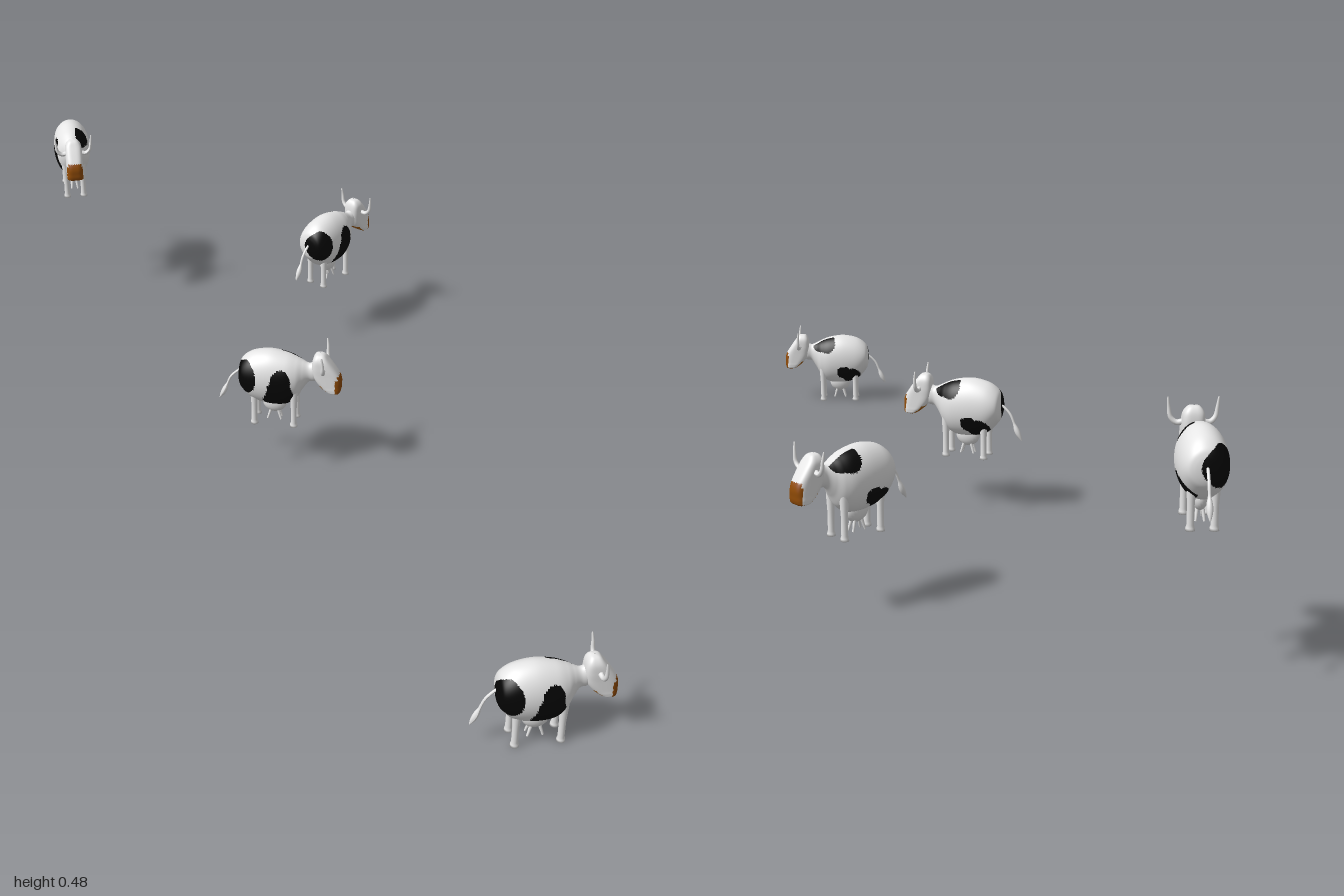
import * as THREE from 'three';

const mat = (name, color) => {
  const m = new THREE.MeshStandardMaterial({ color });
  m.name = name;
  return m;
};

// Smooth interpolation through rows of numbers, u in 0..1
function sample(rows, u) {
  const f = u * (rows.length - 1), i = Math.min(Math.floor(f), rows.length - 2), t = f - i;
  const row = k => rows[Math.max(0, Math.min(rows.length - 1, k))];
  return rows[0].map((_, c) => {
    const [a, b, d, e] = [row(i - 1)[c], row(i)[c], row(i + 1)[c], row(i + 2)[c]];
    return b + 0.5 * t * (d - a + t * (2 * a - 5 * b + 4 * d - e + t * (3 * (b - d) + e - a)));
  });
}

// Skin over rings; pick gives the material number of each face
function loft(rows, n, m, place, pick) {
  const pts = [];
  for (let i = 0; i <= n; i++) {
    const s = sample(rows, i / n);
    for (let j = 0; j < m; j++) pts.push(place(s, (j / m) * Math.PI * 2));
  }
  const sets = [[], [], []];
  for (let i = 0; i < n; i++) for (let j = 0; j < m; j++) {
    const a = i * m + j, b = a + m, c = i * m + (j + 1) % m, d = c + m;
    for (const tri of [[a, b, c], [c, b, d]]) {
      const mid = new THREE.Vector3();
      tri.forEach(k => mid.addScaledVector(pts[k], 1 / 3));
      sets[pick(mid)].push(...tri);
    }
  }
  const g = new THREE.BufferGeometry().setFromPoints(pts);
  g.setIndex(sets.flat());
  let start = 0;
  sets.forEach((set, k) => {
    if (set.length) g.addGroup(start, set.length, k);
    start += set.length;
  });
  g.computeVertexNormals();
  return g;
}

// Tube whose radius follows a rule along its length
function taperTube(points, radius) {
  const curve = new THREE.CatmullRomCurve3(points.map(p => new THREE.Vector3(...p)));
  const n = 24, sides = 10, g = new THREE.TubeGeometry(curve, n, 1, sides);
  const pos = g.attributes.position, v = new THREE.Vector3();
  for (let k = 0; k < pos.count; k++) {
    const u = Math.floor(k / (sides + 1)) / n, c = curve.getPointAt(u);
    v.fromBufferAttribute(pos, k).sub(c).multiplyScalar(radius(u)).add(c);
    pos.setXYZ(k, v.x, v.y, v.z);
  }
  g.computeVertexNormals();
  return g;
}

const inside = (x, y, cx, cy, rx, ry) => ((x - cx) / rx) ** 2 + ((y - cy) / ry) ** 2 < 1;

// Hide markings: rump and bell-shaped flank on the right (+z), shoulder and belly on the left (-z)
function isSpot({ x, y, z }) {
  if (z > -0.01 + 20 * (y - 0.12) ** 2 && inside(x, y, -0.062, 0.12, 0.025, 0.038)) return true;
  if (z > 0.017) {
    const flare = y > 0.07 && y < 0.118 && Math.abs(x - 0.0145) < 0.022 + (0.118 - y) * 0.25;
    return flare || inside(x, y, 0.0165, 0.117, 0.022, 0.031) || inside(x, y, 0.013, 0.07, 0.034, 0.026);
  }
  if (z < -0.009 && (inside(x, y, 0.034, 0.16, 0.024, 0.026) || inside(x, y, 0.054, 0.152, 0.016, 0.016))) return true;
  return z < -0.012 && (inside(x, y, -0.034, 0.071, 0.024, 0.022) || inside(x, y, -0.014, 0.081, 0.019, 0.018));
}

// Muzzle: 1 on the nose front and cheek edges, 2 on the underside of the jaw
function muzzlePart({ x, y, z }) {
  const cheek = z > 0.0185 ? 0.133 : z < -0.0185 ? 0.139 : 0.131;
  if (x > cheek && y < (Math.abs(z) > 0.016 ? 0.123 : 0.131)) return 1;
  return y < 0.107 && Math.abs(z) < 0.018 ? 2 : 0;
}

function buildCow() {
  const white = mat('white hide', 0xe6e6e6);
  const black = mat('black patches', 0x050505);
  const brown = mat('brown muzzle', 0x904b06);
  const tan = mat('tan jaw', 0xa8641c);
  const cow = new THREE.Group();
  const add = (name, geometry, material = white) => {
    const mesh = new THREE.Mesh(geometry, material);
    mesh.name = name;
    cow.add(mesh);
    return mesh;
  };

  // Body and neck: x, bottom, top, half width
  const bodyRows = [
    [-0.080, 0.117, 0.119, 0.001], [-0.077, 0.094, 0.140, 0.022], [-0.069, 0.079, 0.155, 0.034],
    [-0.047, 0.057, 0.170, 0.042], [-0.011, 0.047, 0.177, 0.0445], [0.025, 0.049, 0.172, 0.042],
    [0.047, 0.064, 0.164, 0.034], [0.061, 0.088, 0.157, 0.023], [0.074, 0.107, 0.152, 0.015],
    [0.088, 0.110, 0.156, 0.014], [0.102, 0.120, 0.150, 0.010],
  ];
  add('body', loft(bodyRows, 100, 84, ([x, lo, hi, w], a) => new THREE.Vector3(
    x, (lo + hi) / 2 + (hi - lo) / 2 * Math.sin(a), w * Math.cos(a)), p => (isSpot(p) ? 1 : 0)), [white, black]);

  // Head from chin to crown: y, back, front, half width
  const headRows = [
    [0.0865, 0.130, 0.134, 0.002], [0.089, 0.118, 0.142, 0.018], [0.096, 0.107, 0.145, 0.0205],
    [0.105, 0.097, 0.1455, 0.0205], [0.117, 0.088, 0.1455, 0.0205], [0.130, 0.083, 0.1415, 0.0205],
    [0.148, 0.081, 0.130, 0.0205], [0.166, 0.083, 0.117, 0.0185], [0.177, 0.089, 0.108, 0.011],
    [0.180, 0.097, 0.099, 0.001],
  ];
  const soft = v => Math.sign(v) * Math.abs(v) ** 0.6;
  add('head', loft(headRows, 54, 56, ([y, back, front, w], a) => new THREE.Vector3(
    (back + front) / 2 + (front - back) / 2 * soft(Math.cos(a)), y, w * soft(Math.sin(a))),
  muzzlePart), [white, brown, tan]);

  // Horns and legs, mirrored
  const legProfile = [[0, 0], [0.0085, 0], [0.008, 0.005], [0.0065, 0.010], [0.0065, 0.045], [0.0085, 0.075], [0.009, 0.09]]
    .map(p => new THREE.Vector2(...p));
  const legGeometry = new THREE.LatheGeometry(legProfile, 16);
  for (const [side, s] of [['right', 1], ['left', -1]]) {
    add(side + 'Horn', taperTube([[0.106, 0.149, 0.014 * s], [0.108, 0.146, 0.029 * s], [0.109, 0.155, 0.039 * s],
      [0.109, 0.173, 0.0425 * s], [0.107, 0.193, 0.0445 * s]], u => 0.0012 + 0.0045 * (1 - u) ** 0.7));
    for (const [end, x] of [['Front', 0.044], ['Rear', -0.043]])
      add(side + end + 'Leg', legGeometry).position.set(x, 0, 0.0205 * s);
  }

  // Udder with four splayed teats
  const udder = add('udder', new THREE.SphereGeometry(1, 24, 16));
  udder.scale.set(0.027, 0.026, 0.015);
  udder.position.set(-0.001, 0.049, 0);
  const teatGeometry = new THREE.CylinderGeometry(0.0035, 0.0022, 0.026, 10);
  for (const sx of [-1, 1]) for (const sz of [-1, 1]) {
    const teat = add('teat', teatGeometry);
    teat.position.set(-0.001 + sx * 0.011, 0.019, sz * 0.006);
    teat.rotation.set(-sz * 0.12, 0, sx * 0.28);
  }

  // Tail with a thicker tuft
  add('tail', taperTube([[-0.070, 0.126, 0], [-0.084, 0.116, 0], [-0.098, 0.101, 0], [-0.107, 0.080, 0],
    [-0.114, 0.063, 0], [-0.124, 0.044, 0]],
  u => (u < 0.6 ? 0.0028 : 0.001 + 0.0018 * (1 - u) / 0.4 + 0.004 * Math.sin(Math.PI * (u - 0.6) / 0.4))));
  return cow;
}

export function createModel() {
  const herd = new THREE.Group();
  herd.name = 'herd';
  const cow = buildCow();
  // x, y, z, heading in degrees
  const places = [
    [0.304, 0, 0.954, 0], [-0.028, 0.124, 0.027, -19],
    [0.194, 0.148, -0.549, 41], [-0.405, 0.283, -0.876, -90],
  ];
  places.forEach(([x, y, z, deg], i) => {
    const c = cow.clone();
    c.name = 'cow' + (i + 1);
    c.position.set(x, y, z);
    c.rotation.y = THREE.MathUtils.degToRad(deg);
    herd.add(c);
  });
  return herd;
}
